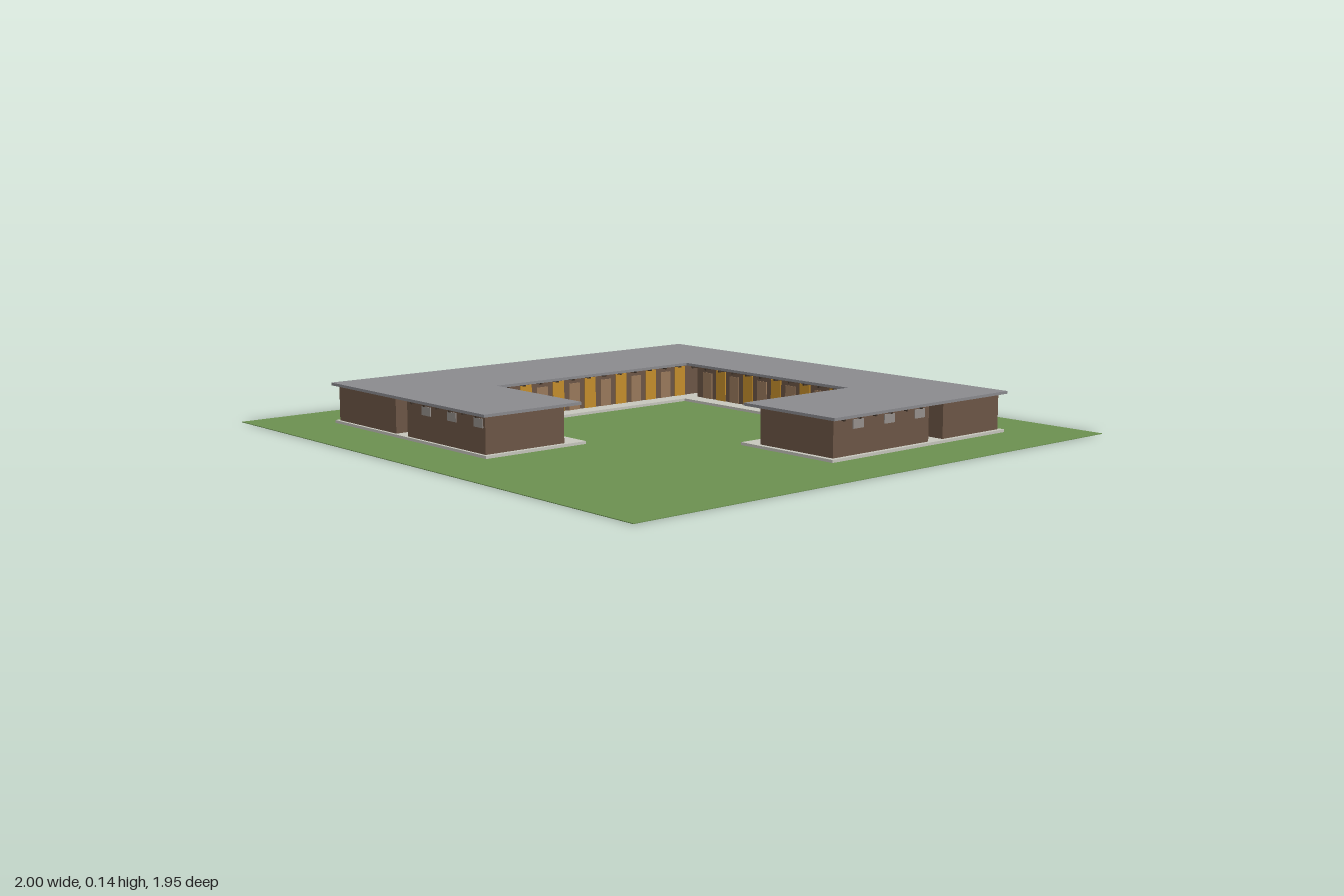
import * as THREE from 'three';

const mat = (name, color) => {
  const m = new THREE.MeshStandardMaterial({ color });
  m.name = name;
  return m;
};

export function createModel() {
  const root = new THREE.Group();
  root.name = 'courtyardBuilding';
  const grass = mat('grass', 0x6b9050);
  const paving = mat('paving', 0xc6c6bc);
  const brick = mat('brick', 0x6d5646);
  const roofGrey = mat('roofGrey', 0x8a8a8e);
  const ochre = mat('ochreDoor', 0xc58e2c);
  const tan = mat('tanPanel', 0x9a7a5c);
  const glass = mat('windowGrey', 0x96908c);
  const timber = mat('darkTimber', 0x43362c);

  // Box given by its minimum and maximum corners
  const box = (name, material, x0, x1, y0, y1, z0, z1, parent = root) => {
    const mesh = new THREE.Mesh(new THREE.BoxGeometry(x1 - x0, y1 - y0, z1 - z0), material);
    mesh.position.set((x0 + x1) / 2, (y0 + y1) / 2, (z0 + z1) / 2);
    mesh.name = name;
    parent.add(mesh);
    return mesh;
  };

  // Horizontal slab extruded upward from an outline of [x, z] points
  const slab = (name, material, pts, y, h) => {
    const shape = new THREE.Shape(pts.map(([x, z]) => new THREE.Vector2(x, -z)));
    const geo = new THREE.ExtrudeGeometry(shape, { depth: h, bevelEnabled: false });
    const mesh = new THREE.Mesh(geo.rotateX(-Math.PI / 2), material);
    mesh.position.y = y;
    mesh.name = name;
    root.add(mesh);
  };

  // Lawn
  box('lawn', grass, -1, 1, 0, 0.002, -0.977, 0.977);

  // Paved base and flat roof share the hooked courtyard plan
  slab('pavedBase', paving, [
    [-0.78, -0.76], [0.78, -0.76], [0.78, 0.03], [0.393, 0.03], [0.393, -0.414],
    [-0.363, -0.414], [-0.363, 0.377], [0.065, 0.377], [0.065, 0.755], [-0.78, 0.755],
  ], 0.002, 0.009);
  slab('flatRoof', roofGrey, [
    [-0.79, -0.765], [0.785, -0.765], [0.785, 0.03], [0.403, 0.03], [0.403, -0.432],
    [-0.375, -0.432], [-0.375, 0.393], [0.065, 0.393], [0.065, 0.76], [-0.79, 0.76],
  ], 0.126, 0.009);

  // Four wings, separated by open passages
  const y0 = 0.011, y1 = 0.126;
  box('westWing', brick, -0.765, -0.43, y0, y1, -0.745, 0.745);
  box('northWing', brick, -0.365, 0.765, y0, y1, -0.745, -0.477);
  box('eastWing', brick, 0.46, 0.765, y0, y1, -0.41, 0.013);
  box('southWing', brick, -0.365, 0.05, y0, y1, 0.45, 0.745);

  // Thin plate on a wall: axis is the wall normal, dir its sign
  const plate = (name, material, axis, dir, wall, centre, w, lo, hi, depth, parent) => {
    const a = Math.min(wall, wall + dir * depth), b = Math.max(wall, wall + dir * depth);
    const c = centre - w / 2, d = centre + w / 2;
    if (axis === 'x') box(name, material, a, b, lo, hi, c, d, parent);
    else box(name, material, c, d, lo, hi, a, b, parent);
  };

  const STEP = 0.137;
  // Places something at every step from a starting point, within a wall's ends
  const along = (start, from, to, w, step, fn) => {
    const first = start + Math.ceil((from + w / 2 - start) / step - 1e-6) * step;
    for (let p = first; p <= to - w / 2 + 1e-6; p += step) fn(p);
  };

  // Courtyard fronts: ochre doors alternate with tan panels beneath rafters
  const courtyardFront = (name, axis, dir, wall, from, to, start) => {
    const g = new THREE.Group();
    g.name = name;
    root.add(g);
    along(start, from, to, 0.047, STEP, p =>
      plate('door', ochre, axis, dir, wall, p, 0.047, y0, 0.115, 0.003, g));
    along(start + STEP / 2, from, to, 0.045, STEP, p =>
      plate('panel', tan, axis, dir, wall, p, 0.045, y0, 0.102, 0.003, g));
    along(start + STEP / 4, from, to, 0.006, STEP / 2, p =>
      plate('rafter', timber, axis, dir, wall, p, 0.006, 0.119, y1, 0.045, g));
  };
  courtyardFront('westWingFront', 'x', 1, -0.43, -0.48, 0.47, 0.373);
  courtyardFront('northWingFront', 'z', 1, -0.477, -0.365, 0.47, 0.443);
  courtyardFront('eastWingFront', 'x', -1, 0.46, -0.41, 0.013, -0.09);
  courtyardFront('southWingFront', 'z', -1, 0.45, -0.365, 0.05, 0.02);

  // Outer walls: high windows and short rafter ends
  const outerWall = (name, axis, dir, wall, from, to, start) => {
    const g = new THREE.Group();
    g.name = name;
    root.add(g);
    along(start, from, to, 0.046, STEP, p =>
      plate('highWindow', glass, axis, dir, wall, p, 0.046, 0.09, 0.118, 0.003, g));
    along(start + STEP / 2, from, to, 0.006, STEP / 2, p =>
      plate('rafterEnd', timber, axis, dir, wall, p, 0.006, 0.119, y1, 0.012, g));
  };
  outerWall('northWingOuter', 'z', -1, -0.745, -0.365, 0.765, 0.017);
  outerWall('eastWingOuter', 'x', 1, 0.765, -0.41, 0.013, -0.092);
  outerWall('southWingOuter', 'z', 1, 0.745, -0.365, 0.05, 0.017);

  return root;
}
